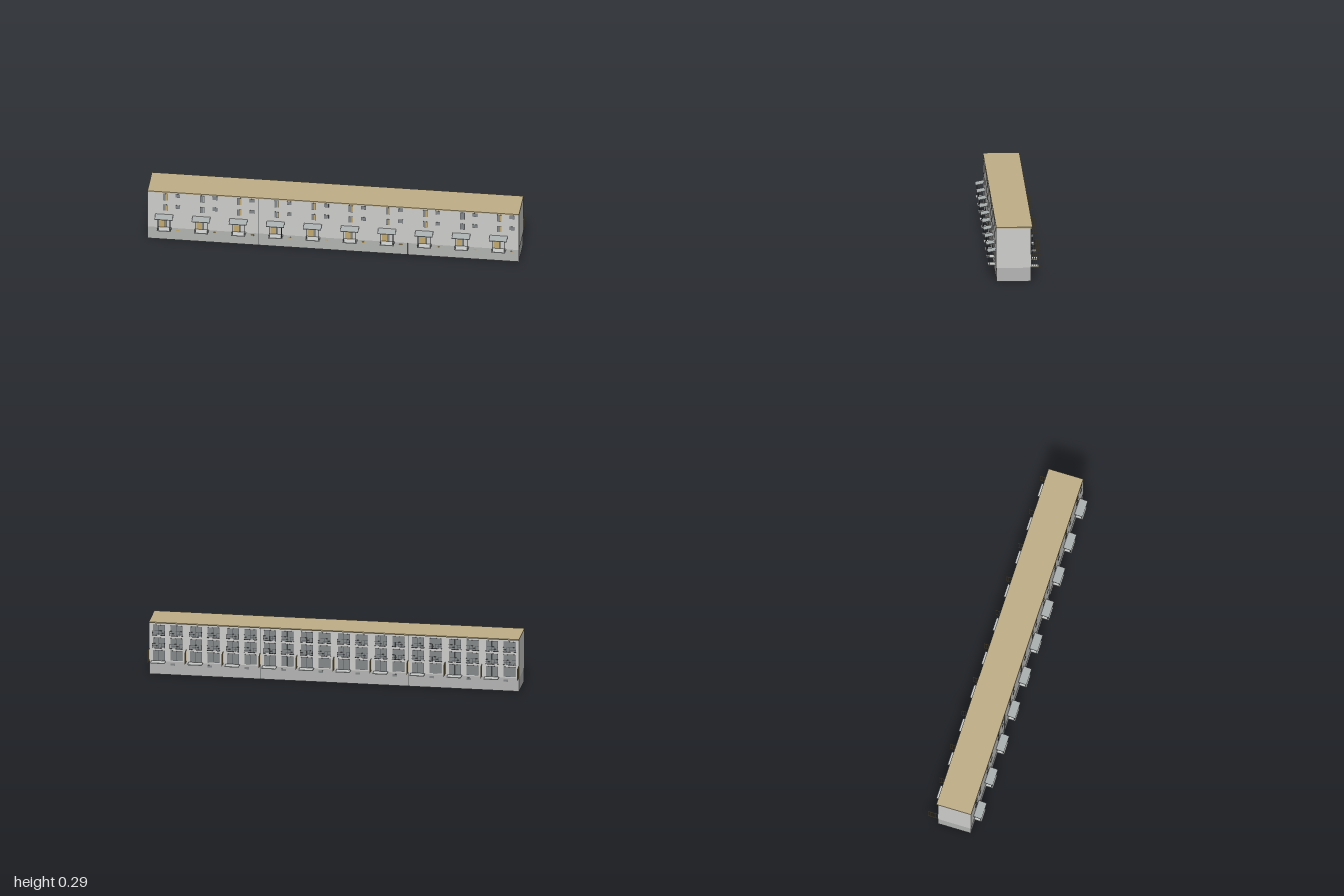
import * as THREE from 'three';

const mat = (name, color) => {
  const m = new THREE.MeshStandardMaterial({ color });
  m.name = name;
  return m;
};

export function createModel() {
  const wall = mat('pale wall', 0xcdcdcb);
  const base = mat('grey plinth', 0xb2b4b2);
  const roofTan = mat('tan roof', 0xbfae86);
  const wood = mat('tan wood', 0xc2a96e);
  const canopyGrey = mat('canopy grey', 0xa9aeae);
  const slabGrey = mat('slab grey', 0xc6c9c8);
  const glass = mat('window glass', 0x838789);
  const metal = mat('dark metal', 0x55585a);

  const FRONT = 0.098, BACK = -0.088;
  const model = new THREE.Group();
  model.name = 'terracedHouses';

  // Box given by its extents on each axis
  const box = (parent, name, m, [x0, x1], [y0, y1], [z0, z1]) => {
    const mesh = new THREE.Mesh(new THREE.BoxGeometry(x1 - x0, y1 - y0, z1 - z0), m);
    mesh.position.set((x0 + x1) / 2, (y0 + y1) / 2, (z0 + z1) / 2);
    mesh.name = name;
    parent.add(mesh);
    return mesh;
  };

  // Thin plate on the front (side 1) or back (side -1) wall
  const plate = (parent, name, m, xs, ys, side, lift = 0.001) => {
    const z = side > 0 ? [FRONT - 0.003, FRONT + lift] : [BACK - lift, BACK + 0.003];
    return box(parent, name, m, xs, ys, z);
  };

  // Glazed opening with a dark frame and optional central mullion
  const openWindow = (parent, name, [x0, x1], [y0, y1], side, mullion) => {
    const g = new THREE.Group();
    g.name = name;
    parent.add(g);
    const f = 0.0015;
    plate(g, 'frame', metal, [x0, x1], [y0, y1], side, 0.0006);
    if (mullion) {
      const c = (x0 + x1) / 2;
      plate(g, 'paneA', glass, [x0 + f, c - f / 2], [y0 + f, y1 - f], side, 0.0012);
      plate(g, 'paneB', glass, [c + f / 2, x1 - f], [y0 + f, y1 - f], side, 0.0012);
    } else {
      plate(g, 'pane', glass, [x0 + f, x1 - f], [y0 + f, y1 - f], side, 0.0012);
    }
    return g;
  };

  // Main volume
  box(model, 'plinth', base, [-0.999, 0.999], [0, 0.074], [BACK + 0.001, FRONT - 0.002]);
  box(model, 'walls', wall, [-1, 1], [0.074, 0.289], [BACK, FRONT]);
  box(model, 'roof', roofTan, [-1, 1], [0.289, 0.295], [-0.097, FRONT]);

  // Expansion joints between the three blocks
  for (const x of [-0.4, 0.4]) {
    for (const side of [1, -1]) {
      plate(model, 'joint', metal, [x - 0.001, x + 0.001], [0, 0.289], side, 0.0004);
    }
  }

  // Entrance porch with sloping canopy, two posts and a slab
  const addPorch = (house) => {
    const porch = new THREE.Group();
    porch.name = 'porch';
    house.add(porch);
    box(porch, 'porchSlab', slabGrey, [0.055, 0.13], [0.073, 0.0765], [FRONT - 0.002, 0.14]);
    for (const x of [0.061, 0.126]) {
      box(porch, 'porchPost', metal, [x - 0.0015, x + 0.0015], [0.0765, 0.147], [0.1315, 0.1345]);
    }
    const canopy = box(porch, 'canopy', canopyGrey, [0.043, 0.139], [0.1485, 0.1515], [0.097, 0.143]);
    canopy.rotation.x = Math.atan2(0.009, 0.045);
    plate(porch, 'frontDoor', wood, [0.063, 0.093], [0.077, 0.14], 1, 0.0015);
    openWindow(porch, 'doorSidelight', [0.093, 0.104], [0.077, 0.14], 1);
  };

  // French balcony railing outside an upper back window
  const addRailing = (house, [x0, x1], y0) => {
    const rail = new THREE.Group();
    rail.name = 'balconyRailing';
    house.add(rail);
    const t = 0.0014, zOut = -0.0965;
    for (const y of [y0, y0 + 0.013, y0 + 0.0265]) {
      box(rail, 'rail', metal, [x0, x1], [y, y + t], [zOut, zOut + t]);
    }
    for (let i = 0; i <= 4; i++) {
      const x = x0 + (x1 - x0 - t) * i / 4;
      box(rail, 'baluster', metal, [x, x + t], [y0, y0 + 0.028], [zOut, zOut + t]);
    }
    for (const x of [x0, x1 - t]) {
      box(rail, 'bracket', metal, [x, x + t], [y0, y0 + t], [zOut, BACK]);
    }
  };

  // Slatted privacy screen between neighbouring terraces
  const addScreen = (x) => {
    const screen = new THREE.Group();
    screen.name = 'privacyScreen';
    model.add(screen);
    const xs = [x - 0.0012, x + 0.0012];
    for (const y of [0.08, 0.1435]) {
      box(screen, 'screenRail', wood, xs, [y, y + 0.002], [-0.1425, BACK]);
    }
    for (let i = 0; i <= 5; i++) {
      const z = -0.1425 + i * 0.0106;
      box(screen, 'screenSlat', wood, xs, [0.08, 0.1455], [z, z + 0.0018]);
    }
  };

  // Ten identical houses; x runs from 0 to 0.2 inside each
  for (let i = 0; i < 10; i++) {
    const house = new THREE.Group();
    house.name = 'house';
    house.position.x = -1 + i * 0.2;
    model.add(house);

    addPorch(house);

    // Front windows
    for (const [y0, y1] of [[0.243, 0.286], [0.179, 0.216]]) {
      openWindow(house, 'stairWindow', [0.083, 0.107], [y0, y1], 1);
      plate(house, 'windowPanel', wood, [0.098, 0.1055], [y0 + 0.0015, y1 - 0.0015], 1, 0.0016);
    }
    for (const y of [0.264, 0.195]) openWindow(house, 'smallWindow', [0.15, 0.176], [y, y + 0.022], 1);
    plate(house, 'cellarWindow', wood, [0.155, 0.172], [0.056, 0.063], 1, 0.0004);

    // Back windows and railings
    const bays = [[0.02, 0.085], [0.115, 0.18]];
    for (const bay of bays) {
      for (const y of [0.148, 0.22]) {
        openWindow(house, 'balconyWindow', bay, [y, y + 0.058], -1, true);
        addRailing(house, [bay[0] - 0.002, bay[1] + 0.002], y);
      }
    }
    openWindow(house, 'gardenWindow', bays[0], [0.08, 0.136], -1, true);
    openWindow(house, 'terraceDoor', bays[1], [0.077, 0.136], -1, true);
    plate(house, 'cellarWindow', glass, [0.06, 0.085], [0.052, 0.064], -1, 0.0005);

    // Terrace deck
    box(house, 'terrace', slabGrey, [0.11, 0.186], [0.073, 0.0765], [-0.131, BACK + 0.002]);
  }

  for (let i = 0; i <= 10; i++) addScreen((-1 + i * 0.2) * 0.9988);

  return model;
}
